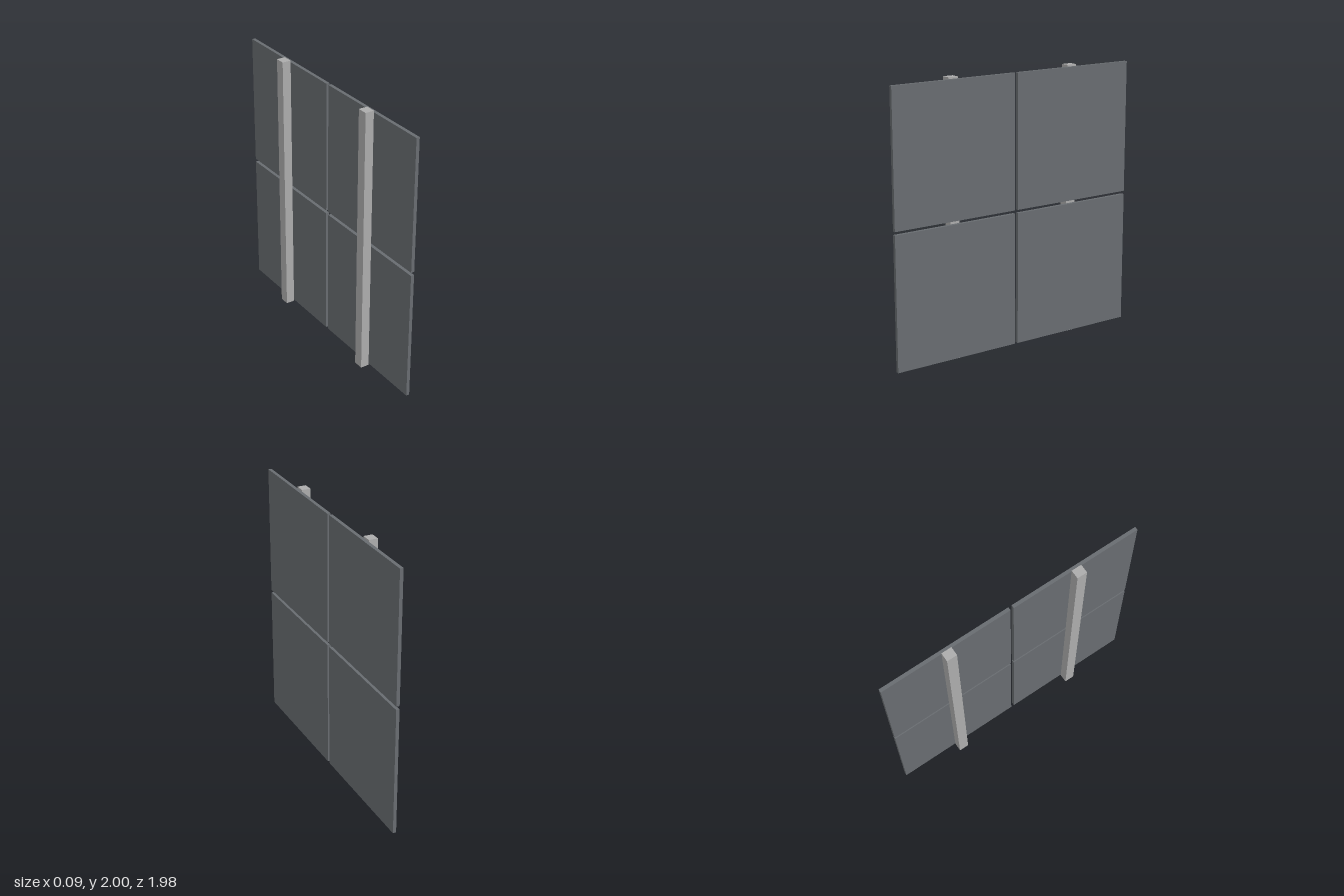
import * as THREE from 'three';

export function createModel() {
  const model = new THREE.Group();
  model.name = 'panelWall';

  const panelGrey = new THREE.MeshStandardMaterial({ color: 0x686c70 });
  panelGrey.name = 'dark grey panel';
  const postGrey = new THREE.MeshStandardMaterial({ color: 0xacacac });
  postGrey.name = 'light grey post';

  const panelGeometry = new THREE.BoxGeometry(0.025, 0.976, 0.976);
  const postGeometry = new THREE.BoxGeometry(0.065, 2, 0.075);

  function add(name, geometry, material, x, y, z) {
    const mesh = new THREE.Mesh(geometry, material);
    mesh.name = name;
    mesh.position.set(x, y, z);
    model.add(mesh);
  }

  for (const z of [-0.5, 0.5]) {
    const end = z > 0 ? 'Front' : 'Back';
    // Upright post behind each column of panels
    add(`post${end}`, postGeometry, postGrey, -0.0125, 1, z);
    // Two square panels per column, with narrow gaps between
    add(`lowerPanel${end}`, panelGeometry, panelGrey, 0.0325, 0.5, z);
    add(`upperPanel${end}`, panelGeometry, panelGrey, 0.0325, 1.5, z);
  }

  return model;
}
